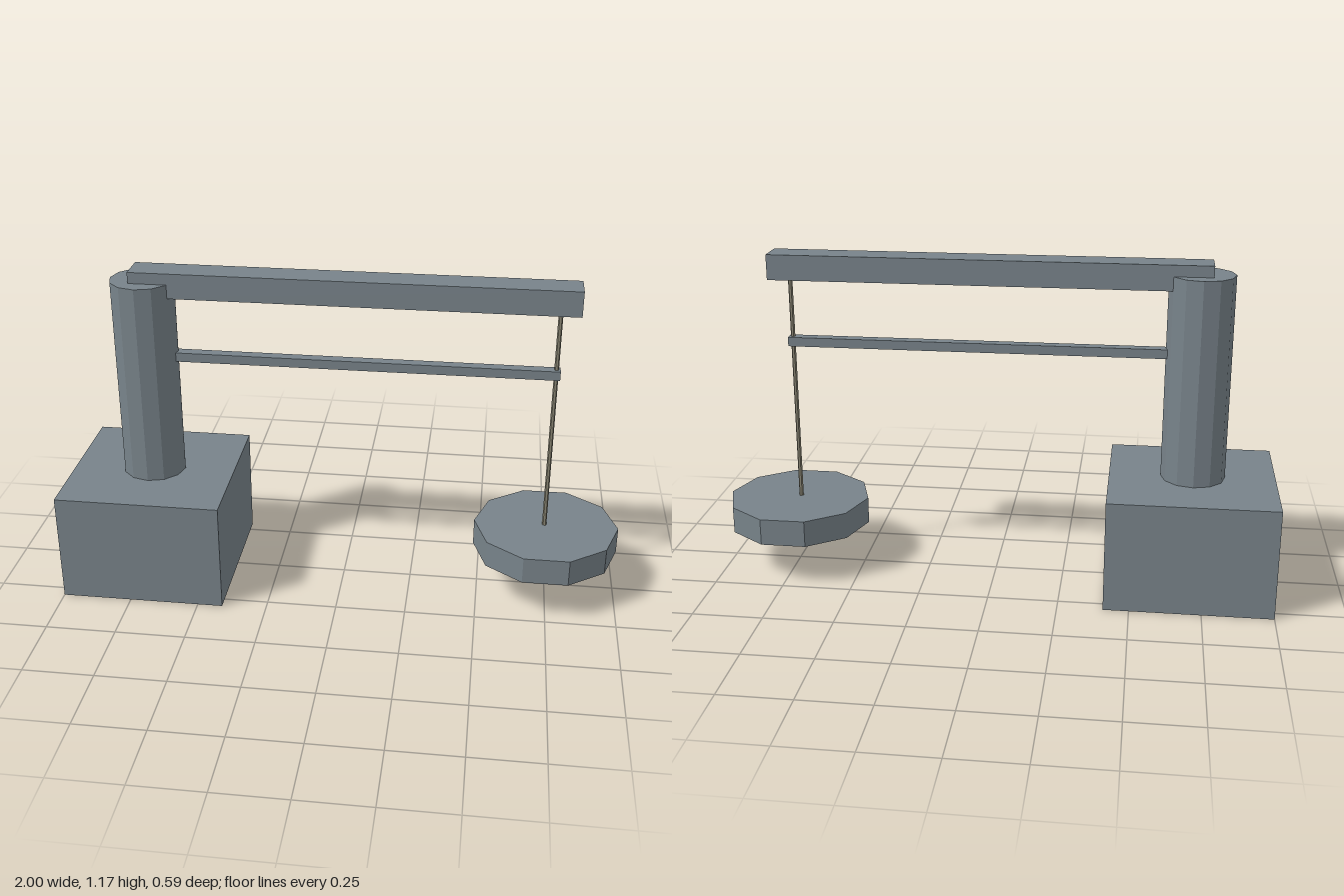
import * as THREE from 'three';

export function createModel() {
  const group = new THREE.Group();
  const steel = new THREE.MeshStandardMaterial({ color: 0x78838a, flatShading: true });
  steel.name = 'greySteel';
  const rodMetal = new THREE.MeshStandardMaterial({ color: 0x8a8674, flatShading: true });
  rodMetal.name = 'rodMetal';

  const add = (name, geometry, material, x, y, z = 0) => {
    const mesh = new THREE.Mesh(geometry, material);
    mesh.name = name;
    mesh.position.set(x, y, z);
    group.add(mesh);
  };
  // Box given by its x and y ranges and its depth
  const box = (name, x0, x1, y0, y1, depth) =>
    add(name, new THREE.BoxGeometry(x1 - x0, y1 - y0, depth), steel, (x0 + x1) / 2, (y0 + y1) / 2);
  // Upright prism with a corner on the x axis
  const prism = (name, x, y0, y1, radius, sides, material) => {
    const geometry = new THREE.CylinderGeometry(radius, radius, y1 - y0, sides);
    geometry.rotateY(Math.PI / 2);
    add(name, geometry, material, x, (y0 + y1) / 2);
  };

  // Foundation block and column
  box('base', -1, -0.41, 0, 0.4, 0.59);
  prism('column', -0.707, 0.4, 1.135, 0.114, 12, steel);

  // Main beam and the thinner brace below it
  box('beam', -0.743, 0.802, 1.085, 1.175, 0.109);
  box('brace', -0.7, 0.748, 0.837, 0.87, 0.04);

  // Hanging rod with the disc weight
  prism('rod', 0.734, 0.155, 1.1, 0.008, 6, rodMetal);
  prism('disc', 0.74, 0.158, 0.255, 0.26, 10, steel);

  return group;
}
